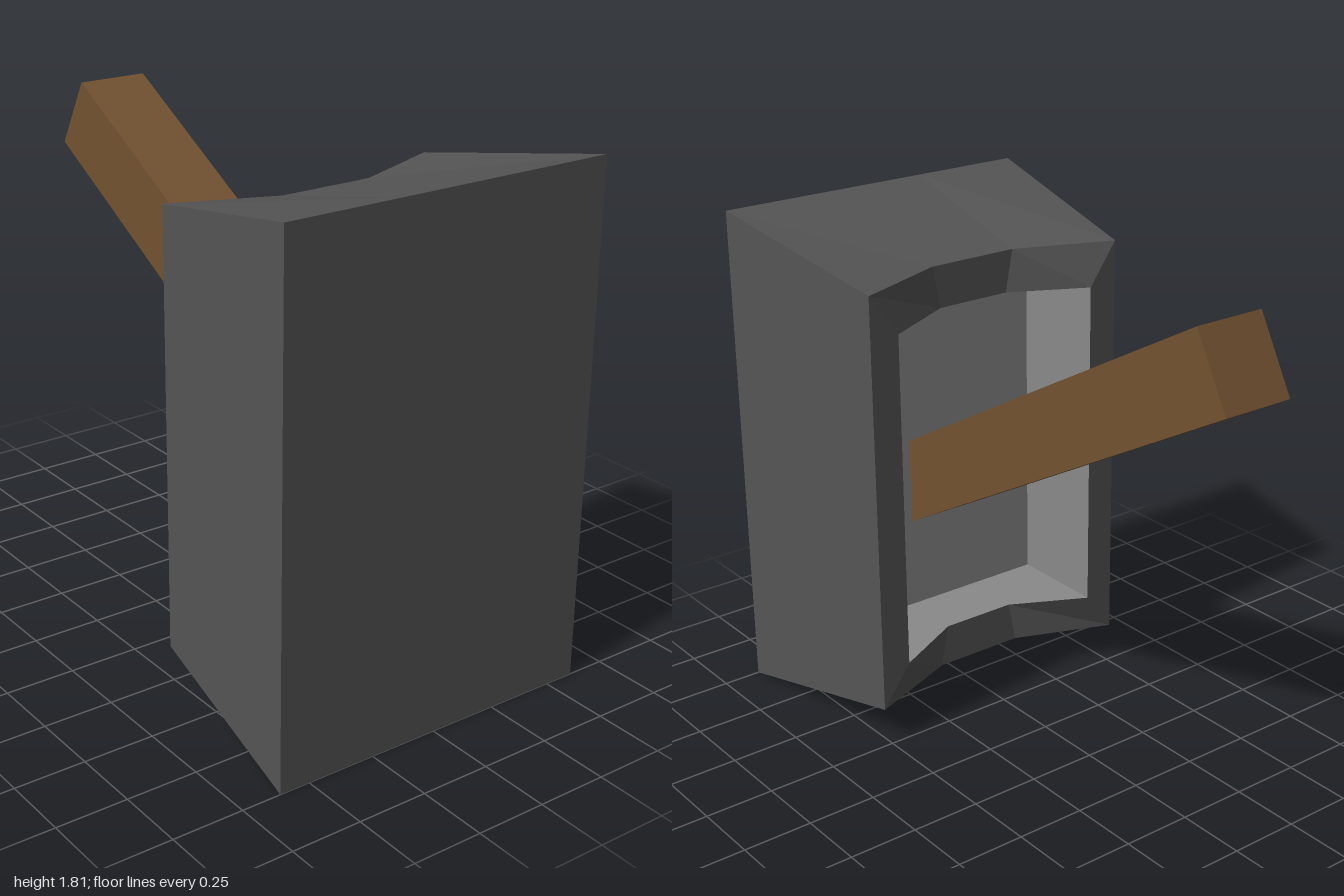
import * as THREE from 'three';

const material = (color) => new THREE.MeshStandardMaterial({ color, flatShading: true });

// Eight-point ring: a rectangle whose top and bottom edges are notched in the middle
function ring(x, notchX, halfHeight, halfWidth, notchHalf) {
  const cy = 0.905, top = cy + halfHeight, bottom = cy - halfHeight;
  const w = halfWidth, m = notchHalf;
  return [
    [x, top, -w], [notchX, top, -m], [notchX, top, m], [x, top, w],
    [x, bottom, w], [notchX, bottom, m], [notchX, bottom, -m], [x, bottom, -w],
  ];
}

const quad = (out, a, b, c, d) => out.push(...a, ...b, ...c, ...a, ...c, ...d);

// Walls joining one ring to the next
function band(out, A, B) {
  for (let i = 0; i < 8; i++) {
    const j = (i + 1) % 8;
    quad(out, A[i], B[i], B[j], A[j]);
  }
}

// Flat end across a ring
function cap(out, R, flip) {
  for (let i = 0; i < 3; i++) {
    const q = [R[i], R[i + 1], R[6 - i], R[7 - i]];
    quad(out, ...(flip ? q.reverse() : q));
  }
}

function mesh(name, positions, mat) {
  const g = new THREE.BufferGeometry();
  g.setAttribute('position', new THREE.Float32BufferAttribute(positions, 3));
  g.computeVertexNormals();
  const m = new THREE.Mesh(g, mat);
  m.name = name;
  return m;
}

export function createModel() {
  const group = new THREE.Group();
  group.name = 'blockWithHandle';

  const face = ring(1, 1, 0.905, 0.61, 0.2);
  const outerRim = ring(0.26, 0.4, 0.765, 0.52, 0.17);
  const innerRim = ring(0.26, 0.4, 0.613, 0.41, 0.14);
  const pocketEnd = ring(0.63, 0.63, 0.613, 0.41, 0.14);

  // Tapered shell with its notched rim
  const shell = [];
  cap(shell, face, false);
  band(shell, face, outerRim);
  band(shell, outerRim, innerRim);
  group.add(mesh('blockShell', shell, material(0x555555)));

  // Hollow inside the block
  const pocket = [];
  band(pocket, innerRim, pocketEnd);
  cap(pocket, pocketEnd, true);
  group.add(mesh('blockPocket', pocket, material(0x8a8a8a)));

  // Slanted square handle, running into the pocket's end wall
  const length = 1.88, slope = -0.508;
  const handle = new THREE.Mesh(
    new THREE.BoxGeometry(length, 0.28, 0.26).translate(length / 2, 0, 0),
    material(0x735231)
  );
  handle.name = 'handle';
  handle.position.set(-0.932, 1.662, 0);
  handle.rotation.z = slope;
  group.add(handle);

  return group;
}
